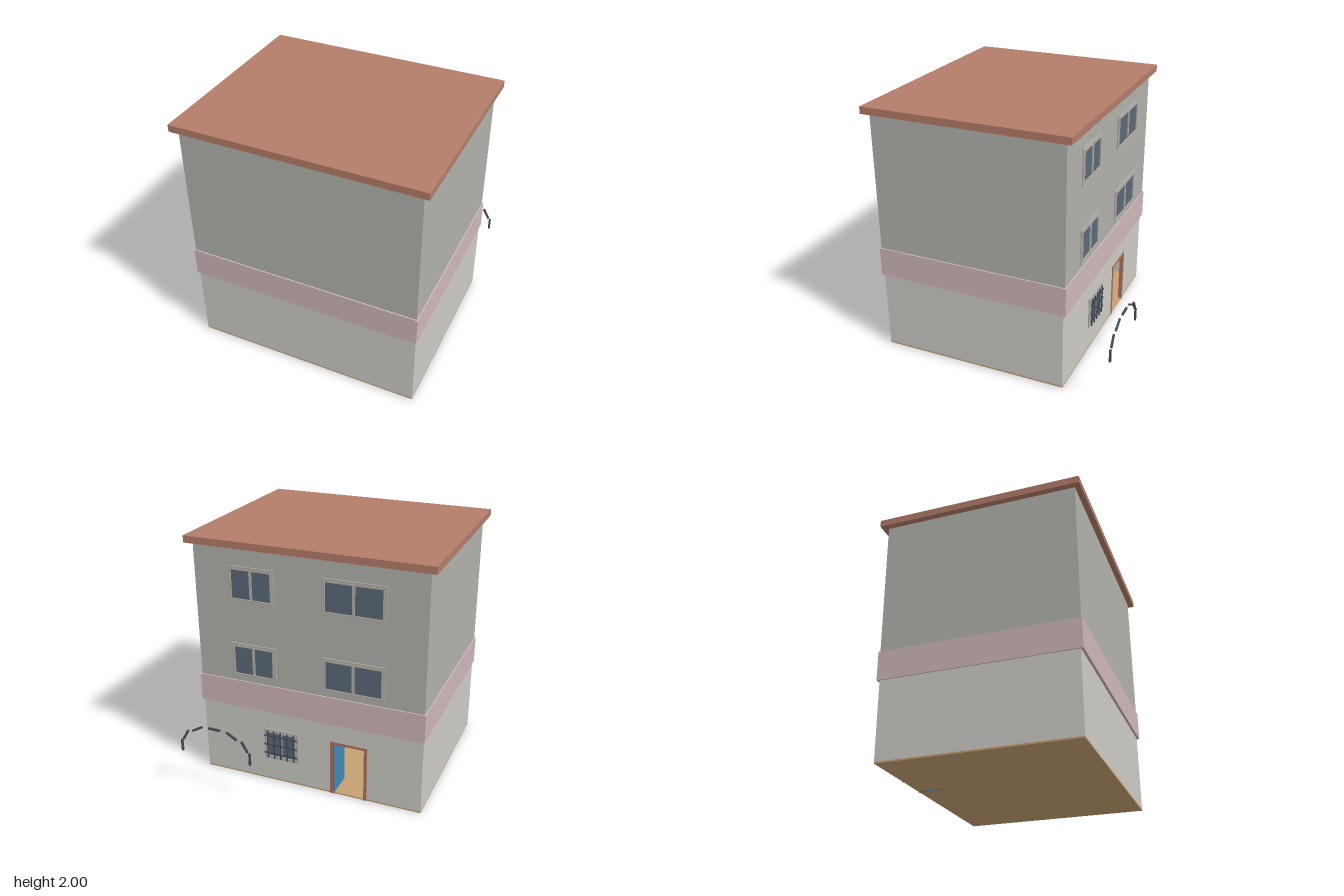
import * as THREE from 'three';

const mat = (name, color) => {
  const m = new THREE.MeshStandardMaterial({ color });
  m.name = name;
  return m;
};

export function createModel() {
  const model = new THREE.Group();
  model.name = 'building';
  const M = {
    upper: mat('upperWallGrey', 0xb2b2ac),
    lower: mat('lowerWallPlaster', 0xcdccc6),
    band: mat('bandPink', 0xcfb7b9),
    roof: mat('roofTerracotta', 0xb37d69),
    floor: mat('floorTan', 0xc6a072),
    frame: mat('windowFrameGrey', 0xb4b0a8),
    glass: mat('glassBlueGrey', 0x5b6a78),
    iron: mat('ironDark', 0x434d57),
    door: mat('doorBlue', 0x4288b8),
    jamb: mat('doorFrameBrown', 0xb0745e),
  };

  // Box given by its lower and upper limits on each axis
  const box = (name, m, [x0, x1], [y0, y1], [z0, z1], parent = model) => {
    const mesh = new THREE.Mesh(new THREE.BoxGeometry(x1 - x0, y1 - y0, z1 - z0), m);
    mesh.position.set((x0 + x1) / 2, (y0 + y1) / 2, (z0 + z1) / 2);
    mesh.name = name;
    parent.add(mesh);
    return mesh;
  };

  // Rectangular frame extruded from zBack out to zFront (towards -z)
  const frame = (name, m, [x0, x1], [y0, y1], [z0, z1], t, parent) => {
    box(name, m, [x0, x0 + t], [y0, y1], [z0, z1], parent);
    box(name, m, [x1 - t, x1], [y0, y1], [z0, z1], parent);
    box(name, m, [x0 + t, x1 - t], [y0, y0 + t], [z0, z1], parent);
    box(name, m, [x0 + t, x1 - t], [y1 - t, y1], [z0, z1], parent);
  };

  // Main masses
  box('roof', M.roof, [-0.97, 0.97], [1.945, 2], [-0.655, 0.955]);
  box('upperWalls', M.upper, [-0.92, 0.92], [0.86, 1.945], [-0.605, 0.91]);
  box('band', M.band, [-0.93, 0.93], [0.63, 0.86], [-0.615, 0.92]);
  box('floor', M.floor, [-0.92, 0.92], [0.003, 0.015], [-0.595, 0.9]);
  box('ceiling', M.upper, [-0.9, 0.9], [0.615, 0.63], [-0.575, 0.88]);

  // Hollow ground floor
  box('frontWall', M.lower, [-0.92, 0.92], [0.015, 0.63], [0.88, 0.9]);
  for (const s of [-1, 1]) {
    box('sideWall', M.lower, [s * 0.91 - 0.01, s * 0.91 + 0.01], [0.015, 0.63], [-0.575, 0.88]);
  }

  // Back wall, notched for the doorway
  const dx0 = -0.48, dx1 = -0.175, dTop = 0.47;
  const outline = new THREE.Shape([
    [-0.92, 0.015], [dx0, 0.015], [dx0, dTop], [dx1, dTop],
    [dx1, 0.015], [0.92, 0.015], [0.92, 0.63], [-0.92, 0.63],
  ].map(([x, y]) => new THREE.Vector2(x, y)));
  const backWall = new THREE.Mesh(
    new THREE.ExtrudeGeometry(outline, { depth: 0.02, bevelEnabled: false }), M.lower);
  backWall.position.z = -0.595;
  backWall.name = 'backWall';
  model.add(backWall);

  // Door frame and the leaf swung open into the room
  for (const x of [dx0, dx1 - 0.025]) {
    box('doorJamb', M.jamb, [x, x + 0.025], [0.003, dTop], [-0.6, -0.57]);
  }
  box('doorHead', M.jamb, [dx0 + 0.025, dx1 - 0.025], [dTop - 0.02, dTop], [-0.6, -0.57]);
  box('doorLeaf', M.door, [-0.212, -0.2], [0, 0.45], [-0.595, -0.38]);

  // Sliding window with two sashes on the back wall
  const addWindow = (name, x0, x1, y0, y1, wall) => {
    const g = new THREE.Group();
    g.name = name;
    model.add(g);
    frame('windowFrame', M.frame, [x0, x1], [y0, y1], [wall - 0.01, wall], 0.018, g);
    const a = x0 + 0.018, b = x1 - 0.018, c = (a + b) / 2;
    for (const [l, r] of [[a, c], [c, b]]) {
      frame('sash', M.frame, [l, r], [y0 + 0.018, y1 - 0.018], [wall - 0.014, wall], 0.01, g);
    }
    box('glass', M.glass, [a, b], [y0 + 0.018, y1 - 0.018], [wall - 0.006, wall], g);
  };
  for (const y of [0.9, 1.52]) {
    addWindow('smallWindow', 0.26, 0.635, y, y + 0.28, -0.605);
    addWindow('wideWindow', -0.615, -0.12, y, y + 0.28, -0.605);
  }
  addWindow('groundWindow', 0.095, 0.39, 0.205, 0.47, -0.595);

  // Iron grille in front of the ground window
  const grille = new THREE.Group();
  grille.name = 'grille';
  model.add(grille);
  for (let i = 0; i < 5; i++) {
    const x = 0.13 + i * 0.056;
    box('uprightBar', M.iron, [x - 0.005, x + 0.005], [0.215, 0.46], [-0.62, -0.611], grille);
  }
  for (let i = 0; i < 3; i++) {
    const y = 0.26 + i * 0.078;
    box('crossBar', M.iron, [0.1, 0.385], [y - 0.005, y + 0.005], [-0.619, -0.612], grille);
  }

  // Free-standing arch of seven short bars
  const arch = new THREE.Group();
  arch.name = 'arch';
  model.add(arch);
  for (let i = 0; i <= 6; i++) {
    const a = (i * Math.PI) / 6;
    const bar = new THREE.Mesh(new THREE.BoxGeometry(0.1, 0.015, 0.015), M.iron);
    bar.position.set(0.63 + 0.296 * Math.cos(a), 0.395 + 0.198 * Math.sin(a), -0.957);
    bar.rotation.z = a + Math.PI / 2;
    bar.name = 'archBar';
    arch.add(bar);
  }
  return model;
}
